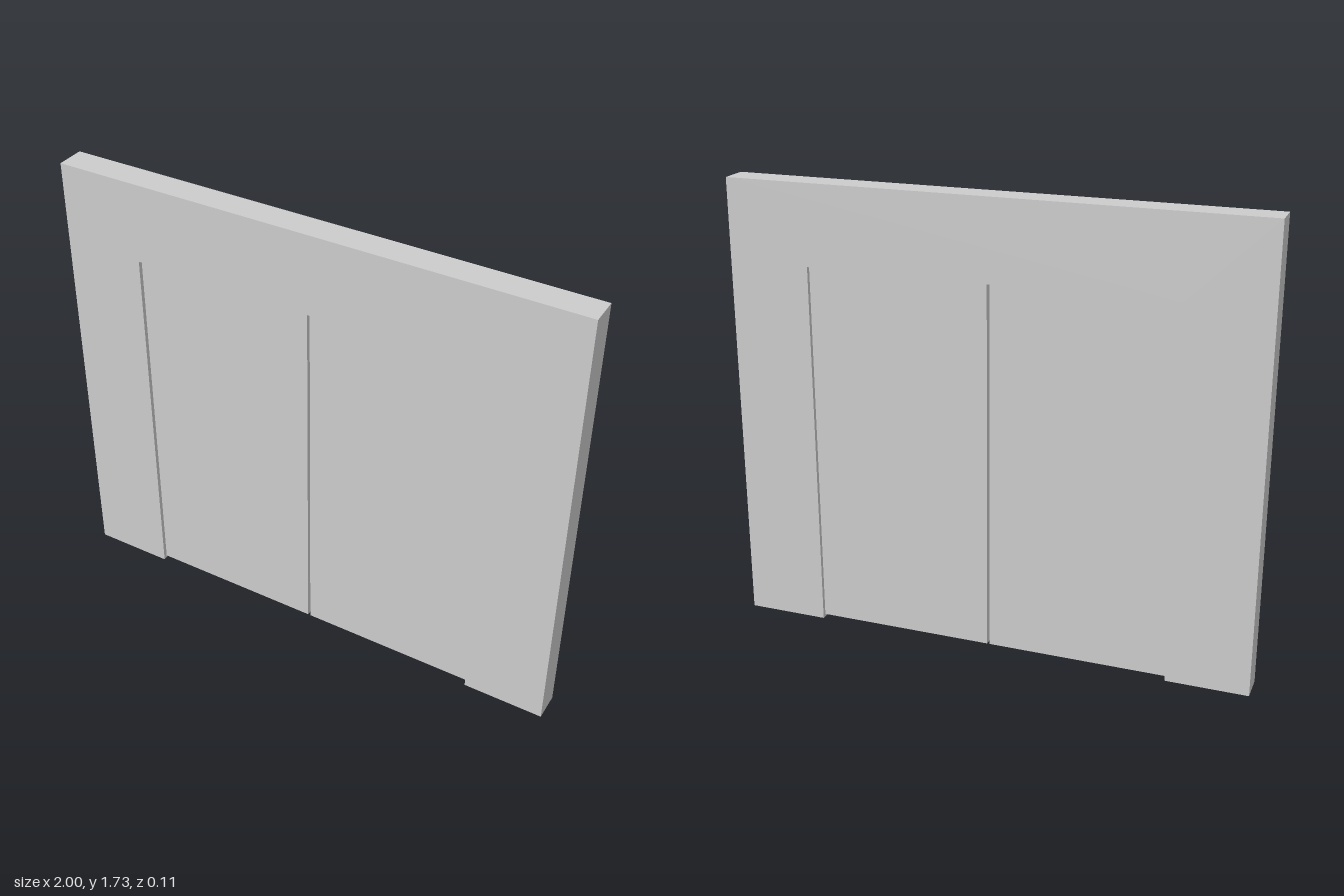
import * as THREE from 'three';

const W = 2, H = 1.73, D = 0.108;                  // overall wall section
const openHalf = 0.69, openTop = 1.425;            // doorway
const gap = 0.005, doorBottom = 0.01, doorDepth = 0.076;

export function createModel() {
  const model = new THREE.Group();
  model.name = 'doubleDoor';
  const material = new THREE.MeshStandardMaterial({ color: 0xcccccc });

  // Surround: two posts and a lintel in one outline
  const outline = new THREE.Shape([
    [-W / 2, 0], [-openHalf, 0], [-openHalf, openTop], [openHalf, openTop],
    [openHalf, 0], [W / 2, 0], [W / 2, H], [-W / 2, H],
  ].map(([x, y]) => new THREE.Vector2(x, y)));
  const frameGeometry = new THREE.ExtrudeGeometry(outline, { depth: D, bevelEnabled: false });
  frameGeometry.translate(0, 0, -D / 2);
  const frame = new THREE.Mesh(frameGeometry, material);
  frame.name = 'doorFrame';
  model.add(frame);

  // Two plain leaves, recessed on both faces, with a slit between and below
  const leafWidth = openHalf - gap, leafHeight = openTop - doorBottom;
  const leafGeometry = new THREE.BoxGeometry(leafWidth, leafHeight, doorDepth);
  for (const side of [-1, 1]) {
    const leaf = new THREE.Mesh(leafGeometry, material);
    leaf.name = side > 0 ? 'leftDoor' : 'rightDoor';
    leaf.position.set(side * (gap + leafWidth / 2), doorBottom + leafHeight / 2, 0);
    model.add(leaf);
  }
  return model;
}
